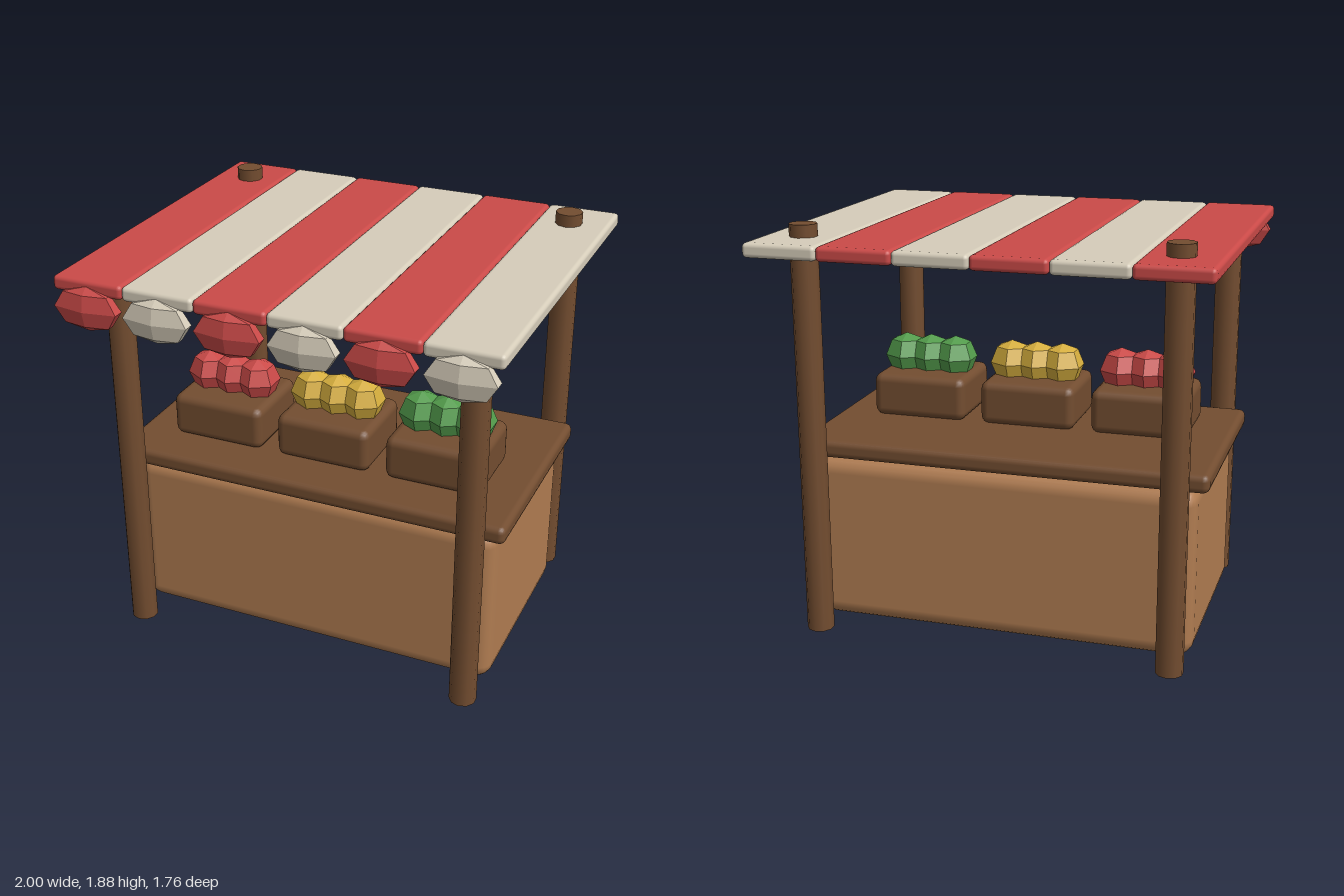
import * as THREE from 'three';
import { RoundedBoxGeometry } from 'three/addons/geometries/RoundedBoxGeometry.js';

const material = (name, color, flatShading = false) => {
  const m = new THREE.MeshStandardMaterial({ color, flatShading });
  m.name = name;
  return m;
};

export function createModel() {
  const stall = new THREE.Group();
  stall.name = 'marketStall';

  const darkWood = material('darkWood', 0x734d30);
  const lightWood = material('lightWood', 0xb07c51);
  const red = material('red', 0xcb4a48);
  const cream = material('cream', 0xd6cdba);
  const yellow = material('yellow', 0xd6ae3e);
  const green = material('green', 0x539c4c);

  const add = (name, geometry, mat, x, y, z) => {
    const mesh = new THREE.Mesh(geometry, mat);
    mesh.name = name;
    mesh.position.set(x, y, z);
    stall.add(mesh);
    return mesh;
  };
  const box = (name, mat, w, h, d, r, x, y, z) =>
    add(name, new RoundedBoxGeometry(w, h, d, 2, r), mat, x, y, z);

  // Faceted six-sided ball with a corner facing the front
  const ballShape = new THREE.SphereGeometry(1, 6, 4).rotateY(Math.PI / 2).toNonIndexed();
  ballShape.computeVertexNormals();
  const ball = (name, mat, rx, ry, rz, x, y, z) =>
    add(name, ballShape.clone().scale(rx, ry, rz), mat, x, y, z);

  // Counter
  box('counterBase', lightWood, 1.78, 0.785, 1.0, 0.075, 0, 0.3925, -0.025);
  box('counterTop', darkWood, 1.89, 0.085, 1.06, 0.03, 0, 0.826, -0.005);

  // Posts: the back pair pass through the awning
  for (const side of [-1, 1]) {
    const label = side > 0 ? 'left' : 'right';
    for (const [end, height, z] of [['Front', 1.7, 0.605], ['Back', 1.88, -0.65]]) {
      add(`${label}${end}Post`, new THREE.CylinderGeometry(0.062, 0.062, height, 10),
        darkWood, side * 0.82, height / 2, z);
    }
  }

  // Striped awning with a hanging scallop on each strip
  const strip = 2 / 6;
  for (let i = 0; i < 6; i++) {
    const x = -1 + strip * (i + 0.5);
    const mat = i % 2 ? cream : red;
    box('awningStrip', mat, strip, 0.065, 1.715, 0.02, x, 1.792, -0.024);
    ball('awningScallop', mat, 0.173, 0.1, 0.05, x, 1.7, 0.833);
  }

  // Crates with a row of fruit in each
  [red, yellow, green].forEach((mat, i) => {
    const x = (i - 1) * 0.535;
    box('crate', darkWood, 0.455, 0.207, 0.395, 0.04, x, 0.967, 0.12);
    for (const step of [-1, 0, 1]) {
      ball('fruit', mat, 0.105, 0.105, 0.105, x + step * 0.125, 1.13, 0.12);
    }
  });

  return stall;
}
